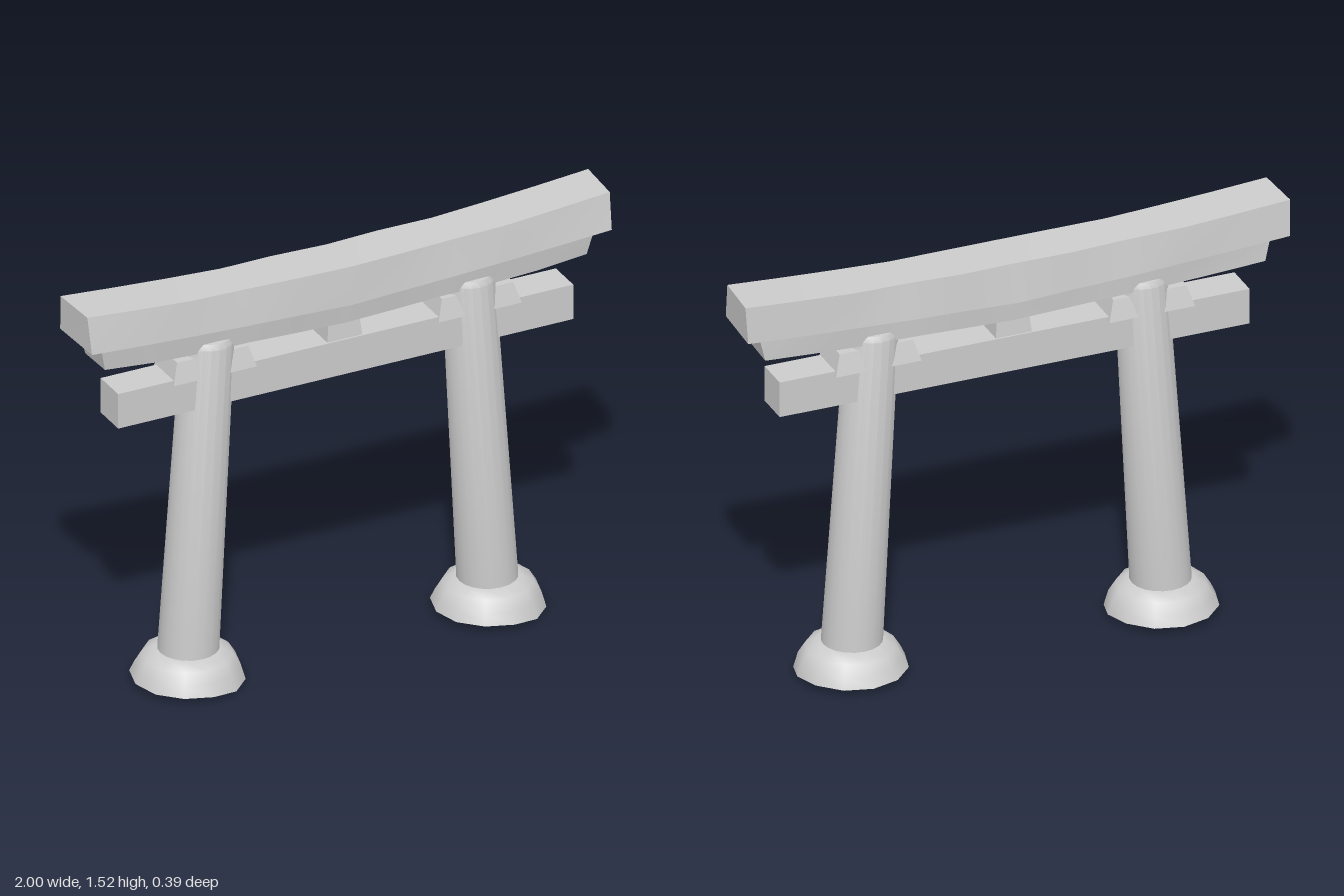
import * as THREE from 'three';
import { toCreasedNormals } from 'three/addons/utils/BufferGeometryUtils.js';

const stone = new THREE.MeshStandardMaterial({ color: 0xcccccc });
stone.name = 'grey stone';

function add(parent, name, geometry) {
  const mesh = new THREE.Mesh(geometry, stone);
  mesh.name = name;
  parent.add(mesh);
  return mesh;
}

// Sagging beam: tables run from the middle (index 0) to either end (index 5).
function saggingBeam({ top, bottom, endTop, endBottom, front, back, skew }) {
  const geo = new THREE.BoxGeometry(2, 1, 1, 10, 1, 1);
  const p = geo.attributes.position;
  for (let i = 0; i < p.count; i++) {
    const x = p.getX(i), up = p.getY(i) > 0, fwd = p.getZ(i) > 0;
    const k = Math.round(Math.abs(x) * 5);
    const half = (up ? endTop : endBottom) - (fwd ? skew : 0);
    const z = (fwd ? front : back)[up ? 0 : 1][k];
    p.setXYZ(i, x * half, (up ? top : bottom)[k], z);
  }
  return toCreasedNormals(geo, 0.3);
}

// Box whose top face is smaller than its bottom face.
function taperedBlock(w0, d0, w1, d1, h) {
  const geo = new THREE.BoxGeometry(1, h, 1);
  const p = geo.attributes.position;
  for (let i = 0; i < p.count; i++) {
    const up = p.getY(i) > 0;
    p.setX(i, p.getX(i) * (up ? w1 : w0));
    p.setZ(i, p.getZ(i) * (up ? d1 : d0));
  }
  return toCreasedNormals(geo, 0.3);
}

// Rounded footing stone with an uneven lower rim.
function footingStone() {
  const profile = [[0, 0.02], [0.197, 0.022], [0.18, 0.06], [0.155, 0.1], [0.115, 0.12], [0, 0.125]]
    .map(([r, y]) => new THREE.Vector2(r, y));
  const geo = new THREE.LatheGeometry(profile, 12);
  const p = geo.attributes.position;
  for (let i = 0; i < p.count; i++) {
    const x = p.getX(i), z = p.getZ(i);
    if (p.getY(i) < 0.03 && Math.hypot(x, z) > 0.1) {
      const c = Math.max(0, Math.cos(Math.atan2(z, x) - 0.7));
      p.setY(i, 0.024 - 0.024 * c ** 4);
    }
  }
  return toCreasedNormals(geo, 0.9);
}

// Leaning pillar with a softly rounded top.
function pillar(side) {
  const profile = [[0, 0], [0.106, 0], [0.092, 1.17], [0.082, 1.19], [0, 1.195]]
    .map(([r, y]) => new THREE.Vector2(r, y));
  const geo = new THREE.LatheGeometry(profile, 20);
  const p = geo.attributes.position;
  for (let i = 0; i < p.count; i++) {
    const y = p.getY(i);
    p.setX(i, p.getX(i) + side * (0.567 - 0.075 * y / 1.2));
    p.setY(i, y + 0.11);
  }
  return toCreasedNormals(geo, 0.5);
}

export function createModel() {
  const gate = new THREE.Group();
  gate.name = 'stoneGate';

  // Two curved lintels
  const seam = [1.34, 1.345, 1.355, 1.362, 1.374, 1.388];
  add(gate, 'upperLintel', saggingBeam({
    top: [1.48, 1.482, 1.485, 1.492, 1.505, 1.52],
    bottom: seam,
    endTop: 1, endBottom: 0.995, skew: 0.01,
    front: [[0.092, 0.088, 0.082, 0.086, 0.083, 0.08], [0.105, 0.1, 0.104, 0.1, 0.102, 0.105]],
    back: [[-0.088, -0.095, -0.088, -0.096, -0.098, -0.1], [-0.113, -0.106, -0.112, -0.106, -0.109, -0.112]],
  }));
  add(gate, 'lowerLintel', saggingBeam({
    top: seam.map((y) => y + 0.008),
    bottom: [1.255, 1.257, 1.268, 1.266, 1.277, 1.292],
    endTop: 0.942, endBottom: 0.918, skew: 0.005,
    front: [[0.075, 0.075, 0.075, 0.075, 0.075, 0.075], [0.066, 0.06, 0.066, 0.06, 0.064, 0.06]],
    back: [[-0.075, -0.075, -0.075, -0.075, -0.075, -0.075], [-0.072, -0.066, -0.074, -0.066, -0.07, -0.078]],
  }));

  // Straight tie beam and the strut in its middle
  add(gate, 'tieBeam', new THREE.BoxGeometry(1.725, 0.132, 0.13)).position.set(-0.003, 1.124, 0);
  add(gate, 'centreStrut', taperedBlock(0.135, 0.12, 0.115, 0.1, 0.1)).position.set(-0.003, 1.225, 0);

  // Pillars, footing stones and wedges
  for (const side of [-1, 1]) {
    const name = side > 0 ? 'left' : 'right';
    add(gate, name + 'Pillar', pillar(side));
    add(gate, name + 'Footing', footingStone()).position.x = side * 0.57;
    add(gate, name + 'Wedge', taperedBlock(0.315, 0.155, 0.27, 0.115, 0.075))
      .position.set(side * 0.502, 1.212, -0.003);
  }
  return gate;
}
